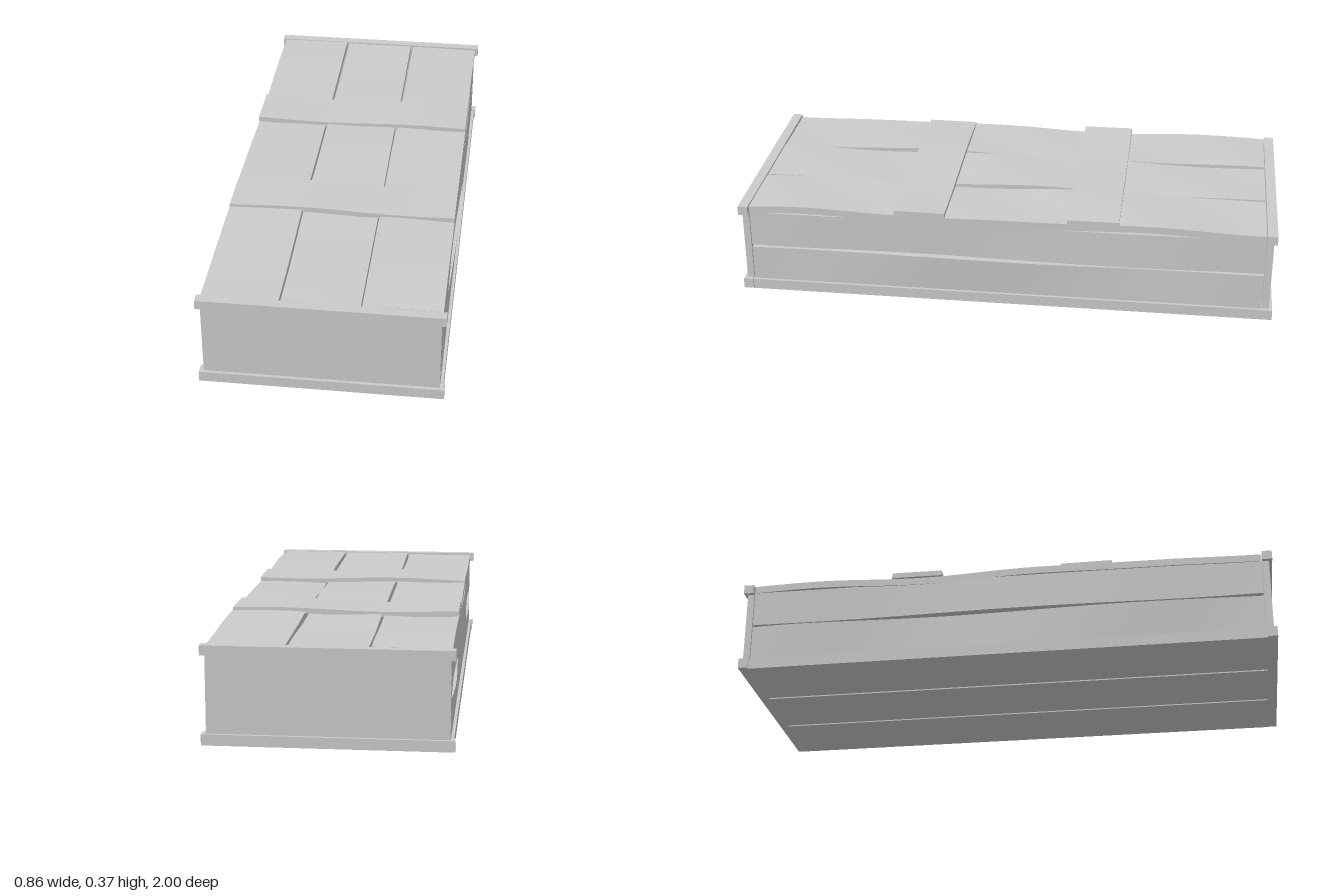
import * as THREE from 'three';

const material = new THREE.MeshStandardMaterial({ color: 0xcccccc });

// Board spanning min..max, subdivided and bent by an optional rule on each vertex
function board(name, min, max, segments = [1, 1, 1], warp = null) {
  const size = max.map((v, i) => v - min[i]);
  const geometry = new THREE.BoxGeometry(...size, ...segments);
  geometry.translate(...min.map((v, i) => v + size[i] / 2));
  if (warp) {
    const p = geometry.attributes.position;
    const v = new THREE.Vector3();
    for (let i = 0; i < p.count; i++) {
      v.fromBufferAttribute(p, i);
      warp(v);
      p.setXYZ(i, v.x, v.y, v.z);
    }
    geometry.computeVertexNormals();
  }
  const mesh = new THREE.Mesh(geometry, material);
  mesh.name = name;
  return mesh;
}

export function createModel() {
  const group = new THREE.Group();
  group.name = 'woodenCrate';

  // Three floor planks and three warped lid planks with narrow gaps
  const edges = [[-0.425, -0.146], [-0.136, 0.136], [0.146, 0.425]];
  edges.forEach(([a, b], i) => {
    group.add(board('floorPlank', [a, 0, -0.965], [b, 0.04, 0.965]));
    const l = Math.max(a, -0.417), r = Math.min(b, 0.417);
    group.add(board('lidPlank', [l, 0.318, -0.96], [r, 0.345, 0.96], [4, 1, 24], (v) => {
      const ends = 1 - Math.pow(Math.abs(v.z) / 0.96, 6) * 0.6;
      v.y += ends * (0.004 + 0.006 * Math.sin(v.z * 5.2 + i * 1.9) + 0.003 * Math.sin(v.z * 9 + v.x * 12 + i));
    }));
  });

  // Two bowed planks along each side
  for (const side of [-1, 1]) {
    [[0.035, 0.176], [0.186, 0.322]].forEach(([low, high], i) => {
      const x = [0.392 * side, 0.414 * side].sort((a, b) => a - b);
      group.add(board('sidePlank', [x[0], low, -0.96], [x[1], high, 0.96], [1, 4, 24], (v) => {
        const t = (v.y - low) / (high - low);
        const fade = 1 - Math.pow(v.z / 0.96, 8);
        const inward = i === 0 ? t : 1 - t * 0.5;
        v.x += side * fade * inward * (0.003 + 0.007 * Math.sin(v.z * 4.3 + i * 2.2 + side));
        if (i === 0 && t > 0.9) v.y += 0.002 * Math.sin(v.z * 5);
      }));
    });
  }

  // End panels with overhanging rails at the top and bottom
  for (const end of [-1, 1]) {
    const span = (a, b) => [a * end, b * end].sort((p, q) => p - q);
    const [p0, p1] = span(0.963, 0.988);
    group.add(board('endPanel', [-0.414, 0.02, p0], [0.414, 0.335, p1]));
    const [r0, r1] = span(0.963, 1);
    group.add(board('lowerEndRail', [-0.43, 0.003, r0], [0.43, 0.042, r1]));
    group.add(board('upperEndRail', [-0.43, 0.316, r0], [0.43, 0.35, r1]));
  }

  // Two wavy battens nailed across the lid
  [[-0.425, -0.235, 0.0], [0.22, 0.41, 2.4]].forEach(([z0, z1, phase]) => {
    group.add(board('lidBatten', [-0.417, 0.342, z0], [0.417, 0.362, z1], [20, 1, 4], (v) => {
      v.y += 0.002 + 0.005 * Math.sin(v.x * 8 + phase + v.z);
    }));
  });

  return group;
}
